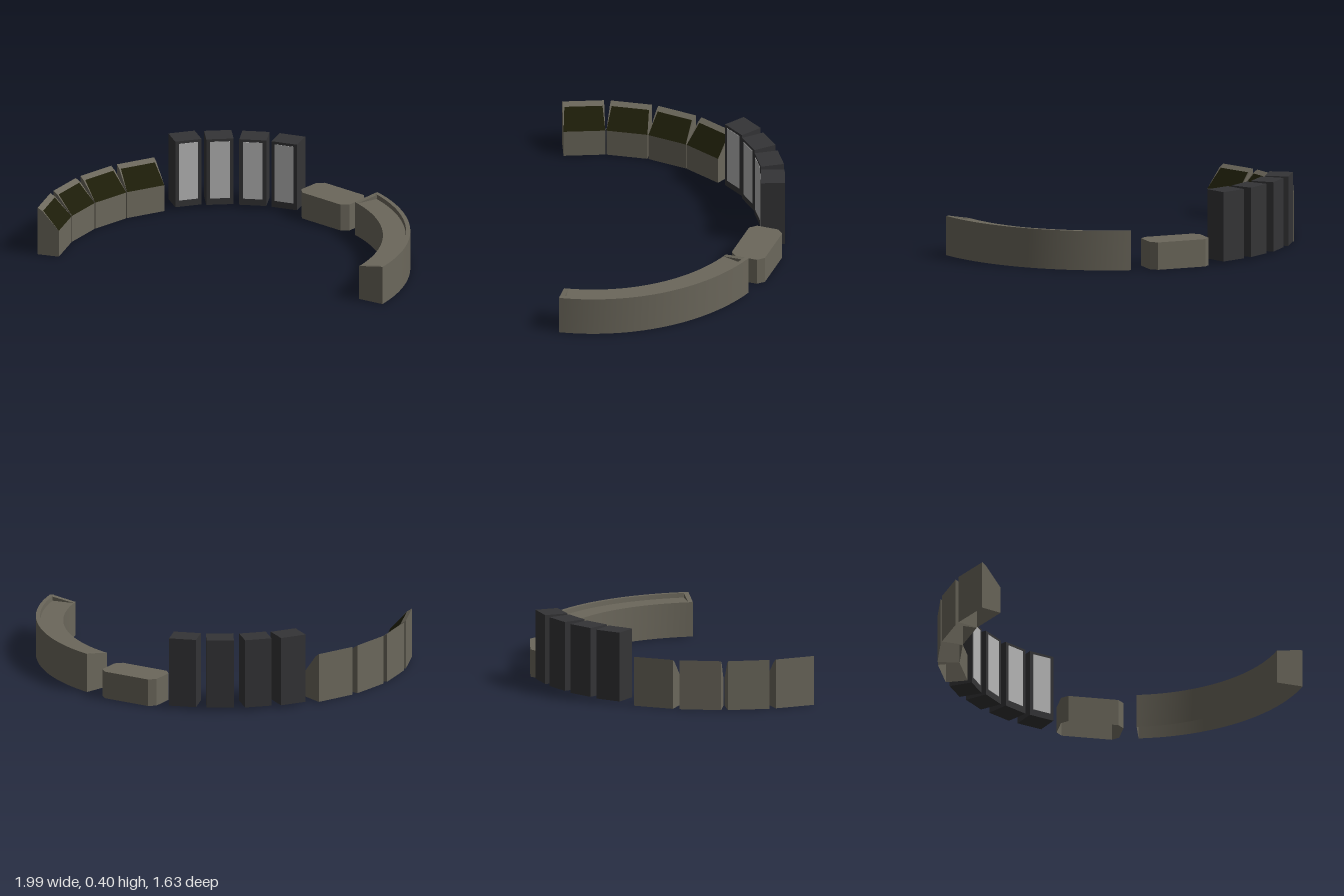
import * as THREE from 'three';
import { toCreasedNormals } from 'three/addons/utils/BufferGeometryUtils.js';

const rad = THREE.MathUtils.degToRad;
const CENTRE_Z = 0.215; // centre of the ring the furniture stands on

function material(name, color, side = THREE.FrontSide) {
  const m = new THREE.MeshStandardMaterial({ color, side });
  m.name = name;
  return m;
}

// Geometry from a list of convex polygons, each a list of [x, y, z]
function fromPolygons(polygons) {
  const pos = [];
  for (const p of polygons)
    for (let i = 1; i < p.length - 1; i++) pos.push(...p[0], ...p[i], ...p[i + 1]);
  const g = new THREE.BufferGeometry();
  g.setAttribute('position', new THREE.Float32BufferAttribute(pos, 3));
  g.computeVertexNormals();
  return g;
}

export function createModel() {
  const model = new THREE.Group();
  const stone = material('warm grey', 0x6b675b, THREE.DoubleSide);
  const screenDark = material('dark olive', 0x1d1d09, THREE.DoubleSide);
  const casing = material('charcoal', 0x343436);
  const glass = material('light grey', 0xb6b6b6);

  function add(parent, name, geometry, mat) {
    const mesh = new THREE.Mesh(geometry, mat);
    mesh.name = name;
    parent.add(mesh);
    return mesh;
  }

  // A group whose front (+z) is turned by an angle measured from straight back
  function place(name, x, z, degrees) {
    const g = new THREE.Group();
    g.name = name;
    g.position.set(x, 0, z);
    g.rotation.y = -rad(degrees);
    model.add(g);
    return g;
  }

  // Sloped consoles: hollow shells with a dark slanted panel
  const w = 0.113, inset = 0.01;
  const side = [[0, -0.06], [0.27, -0.06], [0.252, -0.032], [0.15, 0.06], [0, 0.06]];
  const at = (x, i) => [x, ...side[i]];
  const strip = (i) => [at(w, i), at(-w, i), at(-w, i + 1), at(w, i + 1)];
  const consoleBody = fromPolygons([
    strip(0), strip(1), strip(3),
    [4, 0, 1, 2, 3].map((i) => at(w, i)),
    [0, 4, 3, 2, 1].map((i) => at(-w, i)),
    [at(w, 2), at(w - inset, 2), at(w, 3)],
    [at(inset - w, 2), at(-w, 2), at(-w, 3)],
  ]);
  const consolePanel = fromPolygons([[at(w - inset, 2), at(inset - w, 2), at(-w, 3), at(w, 3)]]);
  for (let k = -1; k <= 2; k++) {
    const a = -90 - 15 * k;
    const g = place('console', 0.94 * Math.sin(rad(a)), CENTRE_Z - 0.94 * Math.cos(rad(a)), a);
    add(g, 'consoleBody', consoleBody, stone);
    add(g, 'consolePanel', consolePanel, screenDark);
  }

  // Tall cabinets with a light front panel: x, z, turn
  const cabinetBox = new THREE.BoxGeometry(0.148, 0.38, 0.128);
  const cabinetFront = new THREE.BoxGeometry(0.108, 0.328, 0.006);
  for (const [x, z, a] of [
    [-0.82, -0.272, -64.5], [-0.713, -0.422, -53], [-0.574, -0.555, -40], [-0.414, -0.657, -27],
  ]) {
    const g = place('cabinet', x, z, a);
    add(g, 'cabinetCase', cabinetBox, casing).position.y = 0.205;
    add(g, 'cabinetFrontPanel', cabinetFront, glass).position.set(0, 0.216, 0.063);
  }

  // Low block with cut corners, open below
  const hx = 0.172, hz = 0.095, c = 0.034, h = 0.15;
  const ring = [
    [hx, hz - c], [hx, c - hz], [hx - c, -hz], [c - hx, -hz],
    [-hx, c - hz], [-hx, hz - c], [c - hx, hz], [hx - c, hz],
  ];
  const blockFaces = ring.map(([x, z], i) => {
    const [x2, z2] = ring[(i + 1) % ring.length];
    return [[x, 0, z], [x2, 0, z2], [x2, h, z2], [x, h, z]];
  });
  blockFaces.push(ring.map(([x, z]) => [x, h, z]));
  add(place('block', -0.115, -0.71, -6.9), 'blockShell', fromPolygons(blockFaces), stone);

  // Curved counter: profile [radius, height] swept round, with raised back and end rims
  const tray = [[1.018, 0], [1.018, 0.215], [0.995, 0.215], [0.993, 0.19], [0.87, 0.19], [0.87, 0]];
  const lip = tray.map((p) => [...p]);
  lip[3][1] = 0.213;
  const section = (deg, profile) => profile.map(([r, y]) =>
    [0.01 + r * Math.sin(rad(deg)), y, CENTRE_Z - r * Math.cos(rad(deg))]);
  const start = 8.1, end = 73.9, rim = 1.6, steps = 36;
  const sections = [section(start, lip), section(start + rim, lip)];
  for (let i = 0; i <= steps; i++)
    sections.push(section(start + rim + (end - start - 2 * rim) * i / steps, tray));
  sections.push(section(end - rim, lip), section(end, lip));
  const counterFaces = [[...sections[0]].reverse(), sections[sections.length - 1]];
  for (let s = 0; s < sections.length - 1; s++) {
    const a = sections[s], b = sections[s + 1];
    for (let i = 0; i < a.length - 1; i++) counterFaces.push([b[i], a[i], a[i + 1], b[i + 1]]);
  }
  add(model, 'curvedCounter', toCreasedNormals(fromPolygons(counterFaces), 0.15), stone);

  return model;
}
